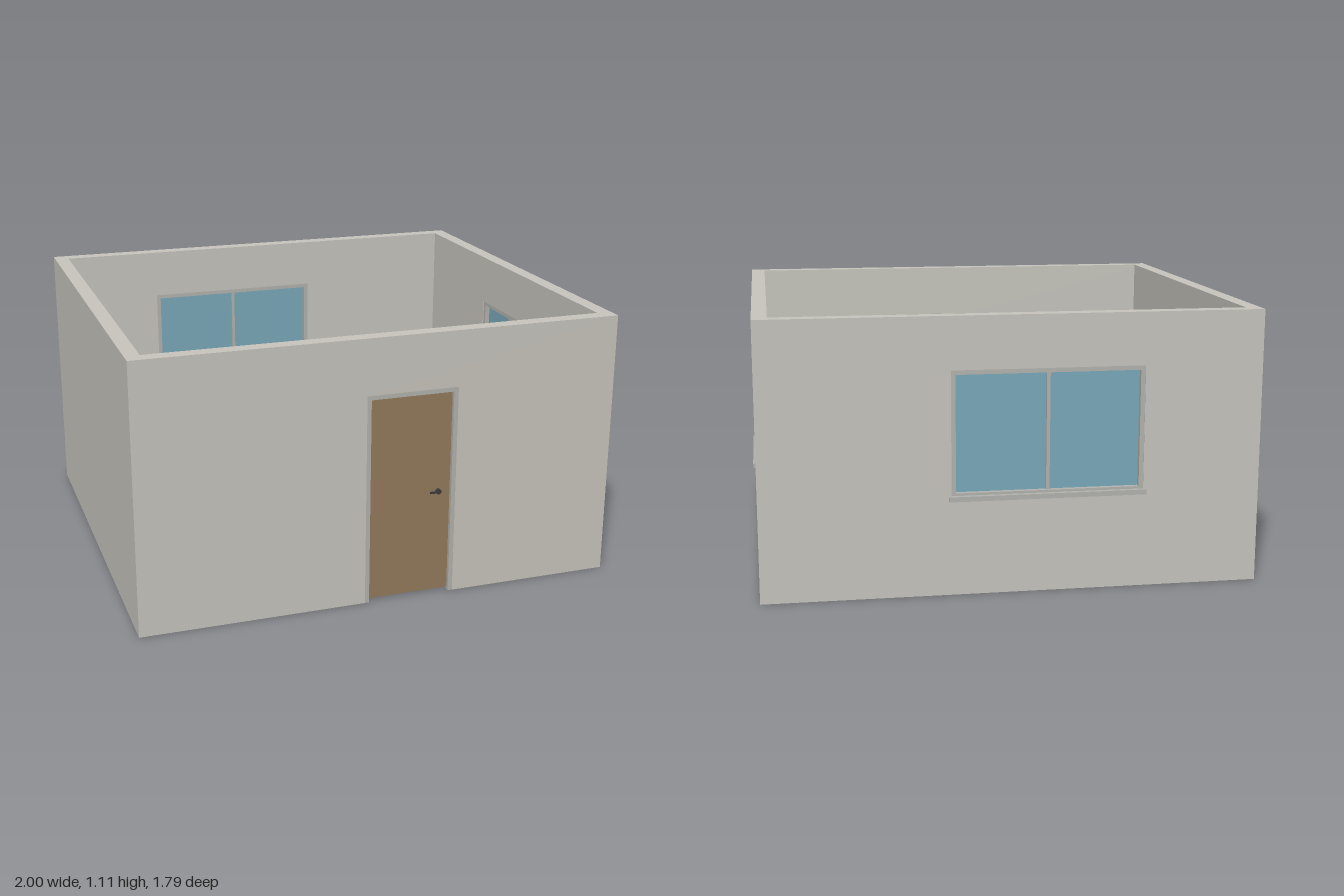
import * as THREE from 'three';

const mat = (color, extra = {}) => new THREE.MeshStandardMaterial({ color, ...extra });
const M = {
  wall: mat(0xc8c6be), frame: mat(0xb4b4b0), glass: mat(0x7aaabb), door: mat(0x957a5c),
  floor: mat(0x9d8568), wood: mat(0x8f6b4b), table: mat(0x8c6a50), cream: mat(0xc6c2b4),
  white: mat(0xcfcdc6), black: mat(0x1a1d22), dark: mat(0x3a3a3c), steel: mat(0xb8bcc4, { side: THREE.DoubleSide }),
};

function add(parent, name, geo, material, x = 0, y = 0, z = 0) {
  const m = new THREE.Mesh(geo, material);
  m.name = name;
  m.position.set(x, y, z);
  parent.add(m);
  return m;
}

// Box given by its minimum and maximum on each axis
function box(parent, name, material, x0, x1, y0, y1, z0, z1) {
  return add(parent, name, new THREE.BoxGeometry(x1 - x0, y1 - y0, z1 - z0), material,
    (x0 + x1) / 2, (y0 + y1) / 2, (z0 + z1) / 2);
}

function group(parent, name, x = 0, y = 0, z = 0, turn = 0) {
  const g = new THREE.Group();
  g.name = name;
  g.position.set(x, y, z);
  g.rotation.y = turn;
  parent.add(g);
  return g;
}

// Disc or knob whose axis points along z
function disc(parent, name, material, r, depth, x, y, z) {
  const geo = new THREE.CylinderGeometry(r, r, depth, 24).rotateX(Math.PI / 2);
  return add(parent, name, geo, material, x, y, z);
}

const H = 1.105, T = 0.06, LEFT = Math.PI / 2;

// Wall in the xy plane, centred on its thickness; opening = [x0, x1, y0, y1]
function wall(parent, name, length, x, z, turn, opening) {
  const g = group(parent, name, x, 0, z, turn), h = length / 2;
  const pts = [[-h, 0], [h, 0], [h, H], [-h, H]];
  const shape = new THREE.Shape();
  if (opening) {
    const [a, b, c, d] = opening;
    if (c === 0) pts.splice(1, 0, [a, 0], [a, d], [b, d], [b, 0]);
    else shape.holes.push(new THREE.Path([[a, c], [a, d], [b, d], [b, c]].map(p => new THREE.Vector2(...p))));
  }
  shape.setFromPoints(pts.map(p => new THREE.Vector2(...p)));
  add(g, 'wallPanel', new THREE.ExtrudeGeometry(shape, { depth: T, bevelEnabled: false }), M.wall, 0, 0, -T / 2);
  return g;
}

// Two-pane window with a projecting sill
function windowUnit(parent, x, w) {
  const g = group(parent, 'window', x), h = w / 2, y0 = 0.4, y1 = 0.895, b = 0.018, d = 0.027;
  for (const s of [-1, 1]) {
    add(g, 'windowJamb', new THREE.BoxGeometry(b, y1 - y0, 2 * d), M.frame, s * (h - b / 2), (y0 + y1) / 2, 0);
    add(g, 'glassPane', new THREE.BoxGeometry(h - b - 0.006, y1 - y0 - b - 0.01, 0.012), M.glass,
      s * (h - b + 0.006) / 2, (y0 + y1 - b + 0.01) / 2, 0);
  }
  box(g, 'windowHead', M.frame, -h + b, h - b, y1 - b, y1, -d, d);
  box(g, 'windowBottomRail', M.frame, -h + b, h - b, y0, y0 + 0.01, -d, d);
  box(g, 'windowMullion', M.frame, -0.007, 0.007, y0, y1 - b, -d + 0.008, d - 0.008);
  box(g, 'windowSill', M.frame, -h - 0.01, h + 0.01, 0.38, y0, -0.045, 0.045);
}

function doorUnit(parent) {
  const g = group(parent, 'door', 0.11), h = 0.19;
  for (const s of [-1, 1])
    add(g, 'doorJamb', new THREE.BoxGeometry(0.018, 0.875, 0.058), M.frame, s * (h - 0.009), 0.4375, 0);
  box(g, 'doorHead', M.frame, -h + 0.018, h - 0.018, 0.857, 0.875, -0.029, 0.029);
  box(g, 'doorLeaf', M.door, -h + 0.018, h - 0.018, 0.01, 0.857, -0.013, 0.013);
  // Lever handles on both faces
  for (const s of [-1, 1]) {
    disc(g, 'handleRose', M.dark, 0.011, 0.014, 0.121, 0.44, s * 0.019);
    box(g, 'handleLever', M.dark, 0.083, 0.125, 0.436, 0.444, s * 0.026 - 0.003, s * 0.026 + 0.003);
  }
}

// Kitchen units are built with the back at z = 0 and the front towards +z
const TOP = 0.37;

function cabinet(parent, x, z, turn, w, depth = 0.235, worktop = true) {
  const g = group(parent, 'baseCabinet', x, 0, z, turn), h = w / 2;
  box(g, 'plinth', M.dark, -h + 0.01, h - 0.01, 0.01, 0.035, 0, depth - 0.025);
  box(g, 'cabinetBody', M.cream, -h + 0.004, h - 0.004, 0.035, worktop ? TOP - 0.018 : 0.25, 0, depth - 0.012);
  box(g, 'cabinetDoor', M.cream, -h + 0.008, h - 0.008, 0.04, TOP - 0.025, depth - 0.012, depth - 0.003);
  if (worktop) box(g, 'worktop', M.wood, -h, h, TOP - 0.018, TOP, 0, depth);
  box(g, 'cabinetHandle', M.dark, -0.025, 0.025, 0.3, 0.308, depth - 0.003, depth + 0.01);
  return g;
}

function appliance(parent, name, x, z, turn, w, h, depth) {
  const g = group(parent, name, x, 0, z, turn);
  box(g, 'casing', M.white, -w / 2, w / 2, 0.01, h, 0, depth);
  return g;
}

// Sink bowl lofted through rounded-rectangle rings: [half width, half depth, y]
function sinkBowl(parent, x, y, z) {
  const rings = [[0.115, 0.108, -0.02], [0.115, 0.108, 0], [0.112, 0.105, 0.004], [0.098, 0.09, 0.004],
    [0.092, 0.084, -0.004], [0.078, 0.072, -0.085], [0.07, 0.064, -0.095]];
  const n = 32, pos = [], idx = [];
  for (const [a, b, h] of rings) for (let i = 0; i < n; i++) {
    const t = (i + 0.5) / n * Math.PI * 2, c = Math.cos(t), s = Math.sin(t), r = 0.028;
    pos.push(Math.sign(c) * (a - r) + r * c, h, Math.sign(s) * (b - r) + r * s);
  }
  for (let k = 0; k < rings.length - 1; k++) for (let i = 0; i < n; i++) {
    const a = k * n + i, b = k * n + (i + 1) % n;
    idx.push(a, a + n, b, b, a + n, b + n);
  }
  const last = (rings.length - 1) * n;
  for (let i = 1; i < n - 1; i++) idx.push(last, last + i + 1, last + i);
  const geo = new THREE.BufferGeometry();
  geo.setAttribute('position', new THREE.Float32BufferAttribute(pos, 3));
  geo.setIndex(idx);
  geo.computeVertexNormals();
  add(parent, 'sinkBowl', geo, M.steel, x, y, z);
}

// Chair facing +z with its back rest at z = -0.0925
function chair(parent, x, z, turn) {
  const g = group(parent, 'chair', x, 0, z, turn), h = 0.0925;
  for (const sx of [-1, 1]) for (const sz of [-1, 1])
    add(g, 'chairLeg', new THREE.BoxGeometry(0.018, 0.17, 0.018), M.wood, sx * 0.078, 0.095, sz * 0.078);
  box(g, 'chairSeat', M.cream, -h, h, 0.18, 0.205, -h, h);
  box(g, 'chairBack', M.wood, -h, h, 0.205, 0.4, -h, -h + 0.033);
}

export function createModel() {
  const room = new THREE.Group();
  room.name = 'kitchenRoom';

  // Shell
  box(room, 'floor', M.floor, -0.94, 0.925, 0.003, 0.012, -0.825, 0.83);
  const front = wall(room, 'frontWall', 1.985, -0.0075, 0.86, 0, [-0.0725, 0.3075, 0, 0.875]);
  doorUnit(group(front, 'doorway', 0.0075));
  const back = wall(room, 'backWall', 1.985, -0.0075, -0.855, Math.PI, [-0.2475, 0.5175, 0.385, 0.895]);
  windowUnit(back, 0.135, 0.765);
  const right = wall(room, 'leftSideWall', 1.655, 0.955, 0.0025, LEFT, [-0.2875, 0.2275, 0.385, 0.895]);
  windowUnit(right, -0.03, 0.515);
  wall(room, 'rightSideWall', 1.655, -0.97, 0.0025, LEFT);

  // Units along the -x wall
  for (const [z, w] of [[-0.652, 0.245], [-0.125, 0.23], [0.428, 0.235]]) cabinet(room, -0.938, z, LEFT, w);
  const washer = appliance(room, 'washingMachine', -0.938, -0.38, LEFT, 0.25, TOP, 0.235);
  disc(washer, 'washerDoorRing', M.steel, 0.078, 0.008, 0, 0.18, 0.237);
  disc(washer, 'washerDoorGlass', M.dark, 0.058, 0.012, 0, 0.18, 0.237);

  const stove = appliance(room, 'stove', -0.938, 0.152, LEFT, 0.315, TOP, 0.288);
  for (const x of [-0.083, 0.083]) for (const z of [0.073, 0.223])
    add(stove, 'burner', new THREE.CylinderGeometry(0.039, 0.039, 0.008, 24), M.dark, x, TOP + 0.004, z);
  box(stove, 'ovenDoor', M.black, -0.125, 0.125, 0.07, 0.27, 0.285, 0.291);
  for (let i = 0; i < 4; i++) disc(stove, 'stoveKnob', M.dark, 0.012, 0.01, -0.09 + i * 0.06, 0.325, 0.289);

  const fridge = appliance(room, 'fridge', -0.938, 0.69, LEFT, 0.25, 0.73, 0.258);
  box(fridge, 'fridgeLowerDoor', M.white, -0.123, 0.123, 0.03, 0.47, 0.258, 0.268);
  box(fridge, 'fridgeUpperDoor', M.white, -0.123, 0.123, 0.48, 0.728, 0.258, 0.268);

  // Units along the back wall
  cabinet(room, -0.545, -0.82, 0, 0.25, 0.245);
  const sink = cabinet(room, -0.29, -0.82, 0, 0.23, 0.245, false);
  sink.name = 'sinkCabinet';
  for (const s of [-1, 1]) box(sink, 'sinkSide', M.cream, s * 0.108 - 0.004, s * 0.108 + 0.004, 0.25, 0.35, 0, 0.23);
  box(sink, 'sinkFrontEdge', M.wood, -0.115, 0.115, 0.345, 0.365, 0.22, 0.245);
  sinkBowl(sink, 0, TOP - 0.002, 0.111);
  const oven = appliance(room, 'dishwasher', -0.05, -0.818, 0, 0.25, TOP, 0.245);
  box(oven, 'dishwasherFront', M.black, -0.123, 0.123, 0.03, TOP - 0.01, 0.245, 0.255);

  // Dining set
  const table = group(room, 'diningTable', 0.7125, 0, 0.0475);
  box(table, 'tableTop', M.table, -0.1775, 0.1775, 0.295, 0.32, -0.2725, 0.2725);
  for (const sx of [-1, 1]) for (const sz of [-1, 1])
    add(table, 'tableLeg', new THREE.BoxGeometry(0.025, 0.285, 0.025), M.table, sx * 0.155, 0.1525, sz * 0.25);
  chair(room, 0.6975, -0.3175, 0);
  for (const z of [-0.09, 0.1875]) chair(room, 0.4425, z, LEFT);

  // Television on the inside of the front wall
  box(room, 'television', M.black, 0.51, 0.92, 0.32, 0.58, 0.805, 0.83);
  return room;
}
